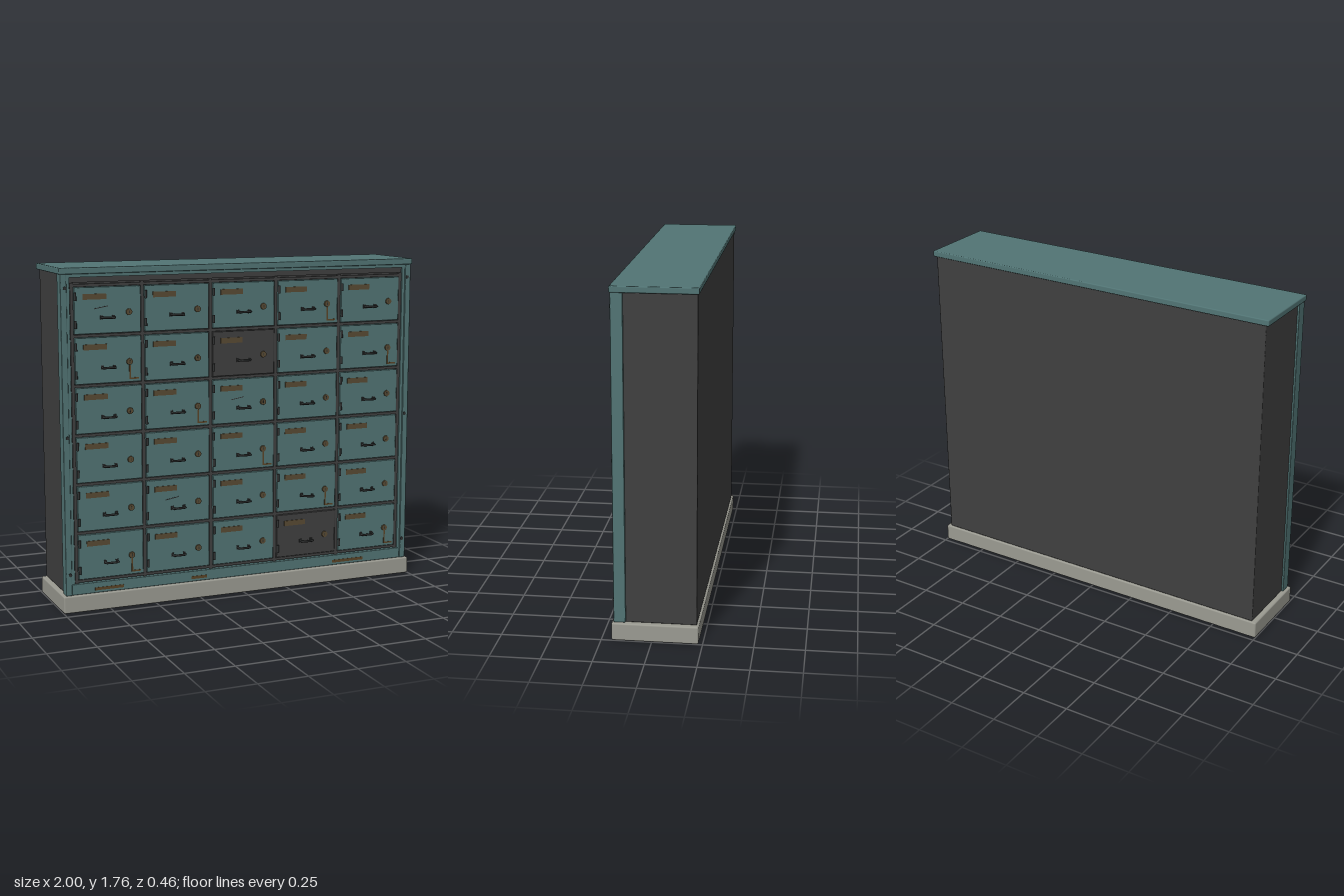
import * as THREE from 'three';
import { RoundedBoxGeometry } from 'three/addons/geometries/RoundedBoxGeometry.js';

export function createModel() {
  const mat = (name, color) => {
    const m = new THREE.MeshStandardMaterial({ color });
    m.name = name;
    return m;
  };
  const teal = mat('teal paint', 0x527575);
  const dark = mat('dark steel', 0x404040);
  const iron = mat('black iron', 0x303232);
  const brass = mat('aged brass', 0x594b33);
  const rust = mat('rust', 0x5a4427);
  const stone = mat('stone', 0x9b9b92);

  const root = new THREE.Group();
  root.name = 'lockerCabinet';

  const add = (parent, name, geometry, material, x = 0, y = 0, z = 0) => {
    const mesh = new THREE.Mesh(geometry, material);
    mesh.name = name;
    mesh.position.set(x, y, z);
    parent.add(mesh);
    return mesh;
  };
  // Box given by its limits, with an optional softened edge
  const block = (parent, name, material, [x0, x1], [y0, y1], [z0, z1], r = 0) => {
    const s = [x1 - x0, y1 - y0, z1 - z0];
    const g = r ? new RoundedBoxGeometry(...s, 1, r) : new THREE.BoxGeometry(...s);
    return add(parent, name, g, material, (x0 + x1) / 2, (y0 + y1) / 2, (z0 + z1) / 2);
  };

  // Plinth, carcass and cap
  block(root, 'plinth', stone, [-1, 1], [0, 0.09], [-0.23, 0.2], 0.008);
  block(root, 'carcass', dark, [-0.975, 0.975], [0.09, 1.735], [-0.22, 0.135], 0.005);
  block(root, 'cap', teal, [-0.992, 0.992], [1.728, 1.76], [-0.228, 0.195], 0.006);

  // Front frame
  for (const s of [-1, 1]) {
    const span = (a, b) => (s > 0 ? [a, b] : [-b, -a]);
    block(root, 'framePost', teal, span(0.952, 0.985), [0.09, 1.73], [0.13, 0.19], 0.004);
    block(root, 'postLip', teal, span(0.936, 0.954), [0.09, 1.72], [0.13, 0.182]);
    for (const y of [0.2, 0.91, 1.66]) {
      const bolt = add(root, 'frameBolt', new THREE.CylinderGeometry(0.009, 0.009, 0.008, 8), iron, s * 0.962, y, 0.191);
      bolt.rotation.x = Math.PI / 2;
    }
  }
  block(root, 'topRail', teal, [-0.952, 0.952], [1.712, 1.73], [0.13, 0.188]);
  block(root, 'bottomRail', teal, [-0.952, 0.952], [0.09, 0.147], [0.13, 0.186], 0.004);
  block(root, 'header', dark, [-0.936, 0.936], [1.685, 1.714], [0.13, 0.172]);
  block(root, 'backPanel', dark, [-0.94, 0.94], [0.14, 1.7], [0.13, 0.162]);
  for (const [x0, x1] of [[-0.83, -0.675], [-0.3, -0.21], [0.53, 0.72]]) {
    block(root, 'railRust', rust, [x0, x1], [0.104, 0.119], [0.184, 0.188]);
  }

  // Dark lattice between the doors
  const colX = (c) => (c - 2) * 0.37;
  const rowY = (r) => 1.545 - r * 0.252;
  for (let c = 0; c <= 5; c++) {
    const x = colX(c) - 0.185;
    block(root, 'latticeUpright', dark, [x - 0.008, x + 0.008], [0.147, 1.685], [0.155, 0.18]);
  }
  for (let r = 0; r <= 6; r++) {
    const y = rowY(r) + 0.126;
    block(root, 'latticeBar', dark, [-0.934, 0.934], [y - 0.007, y + 0.007], [0.155, 0.18]);
  }

  // Shared door parts
  const doorGeo = new RoundedBoxGeometry(0.349, 0.234, 0.028, 1, 0.004);
  const hingeGeo = new THREE.CylinderGeometry(0.007, 0.007, 0.04, 8);
  const lockGeo = new THREE.CylinderGeometry(0.016, 0.017, 0.008, 14);
  const grip = new THREE.CatmullRomCurve3([
    [-0.032, 0], [-0.032, 0.022], [-0.022, 0.028], [0.022, 0.028], [0.032, 0.022], [0.032, 0],
  ].map(([x, z]) => new THREE.Vector3(x, 0, z)), false, 'catmullrom', 0.2);
  const gripGeo = new THREE.TubeGeometry(grip, 20, 0.006, 6);
  const footGeo = new THREE.BoxGeometry(0.014, 0.02, 0.006);

  const dull = new Set(['1,2', '5,3']);
  const streaked = new Set(['0,3', '1,0', '1,4', '2,1', '3,2', '4,3', '5,0', '5,4']);
  const scratched = new Set(['0,0', '2,2', '4,1']);

  // Doors, origin on the front face
  for (let r = 0; r < 6; r++) {
    for (let c = 0; c < 5; c++) {
      const key = `${r},${c}`;
      const door = new THREE.Group();
      door.name = 'lockerDoor';
      door.position.set(colX(c), rowY(r), 0.186);
      root.add(door);

      add(door, 'doorPanel', doorGeo, dull.has(key) ? dark : teal, 0, 0, -0.014);
      block(door, 'labelPlate', brass, [-0.131, -0.008], [0.055, 0.083], [-0.001, 0.004]);
      for (const y of [0.072, -0.068]) add(door, 'hinge', hingeGeo, iron, -0.17, y, 0.003);

      const lock = add(door, 'lock', lockGeo, brass, 0.111, -0.013, 0.003);
      lock.rotation.x = Math.PI / 2;
      block(door, 'keyhole', iron, [0.109, 0.113], [-0.02, -0.006], [0.006, 0.008]);

      const handle = new THREE.Group();
      handle.name = 'handle';
      handle.position.set(-0.002, -0.036, 0);
      door.add(handle);
      add(handle, 'grip', gripGeo, iron);
      for (const x of [-0.032, 0.032]) add(handle, 'handleFoot', footGeo, iron, x, 0, 0.002);
      // One handle hangs loose
      if (key === '4,3') {
        handle.rotation.z = -0.12;
        handle.position.z = 0.009;
      }

      if (streaked.has(key)) {
        block(door, 'rustStreak', rust, [0.109, 0.117], [-0.098, -0.03], [-0.001, 0.002]);
        block(door, 'rustPool', rust, [0.109, 0.16], [-0.103, -0.095], [-0.001, 0.002]);
      }
      if (scratched.has(key)) {
        const scratch = add(door, 'scratch', new THREE.BoxGeometry(0.074, 0.004, 0.003), iron, -0.036, 0.014, 0);
        scratch.rotation.z = 0.17;
      }
    }
  }
  return root;
}
